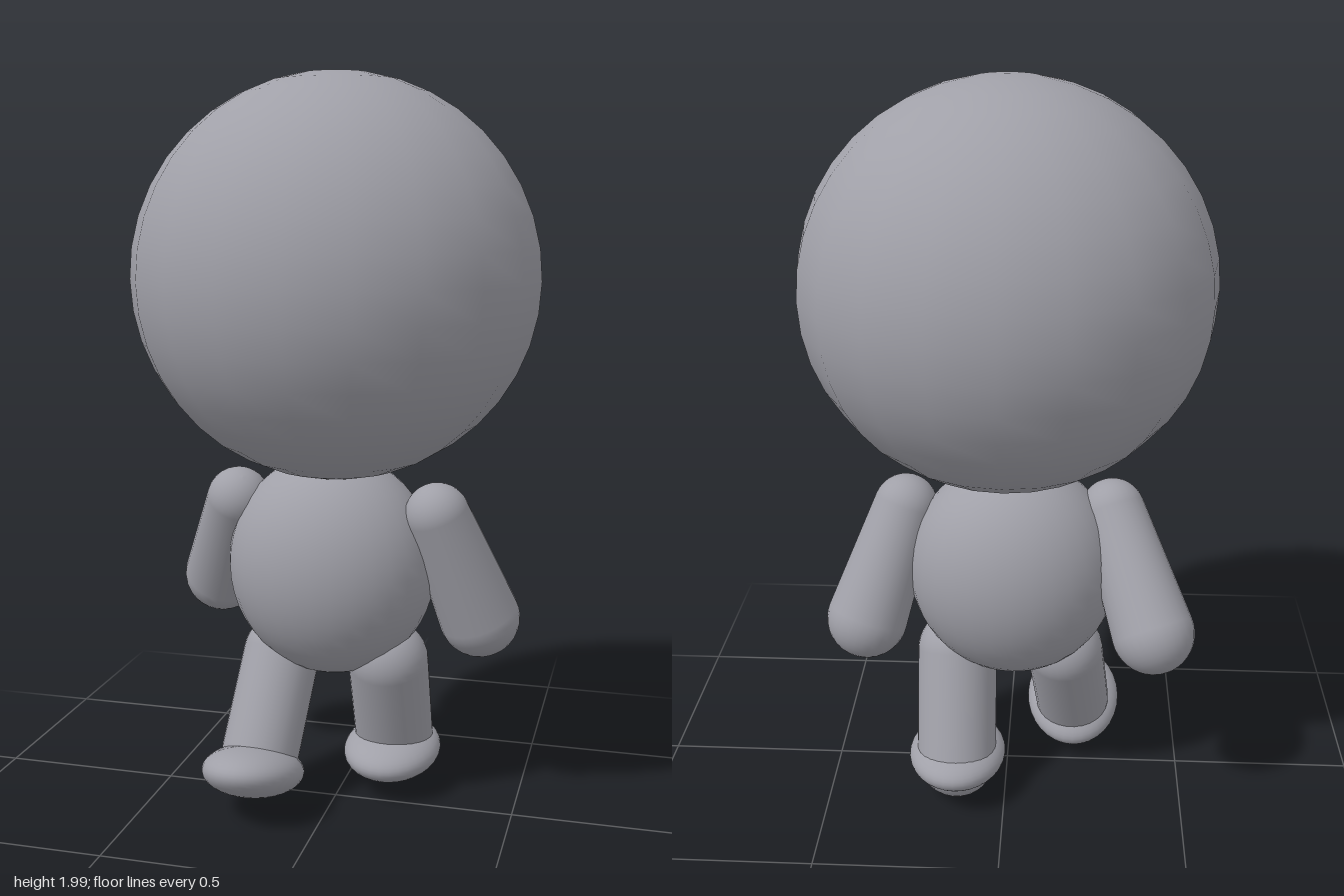
import * as THREE from 'three';

const grey = new THREE.MeshStandardMaterial({ color: 0xa0a0a8 });
grey.name = 'plain grey';

// Ellipsoid, optionally pitched about x (negative lifts the front)
function ellipsoid(name, center, radii, segments = [32, 24], pitch = 0) {
  const mesh = new THREE.Mesh(new THREE.SphereGeometry(1, ...segments), grey);
  mesh.name = name;
  mesh.scale.set(...radii);
  mesh.position.set(...center);
  mesh.rotation.x = pitch;
  return mesh;
}

// Round-ended limb running from ball a (radius ra) to ball b (radius rb)
function limb(name, a, ra, b, rb) {
  const start = new THREE.Vector3(...a);
  const axis = new THREE.Vector3(...b).sub(start);
  const length = axis.length();
  const tangent = Math.asin((ra - rb) / length);
  const profile = [];
  const arc = (from, to, r, y) => {
    for (let i = 0; i <= 10; i++) {
      const t = from + (to - from) * i / 10;
      profile.push(new THREE.Vector2(Math.max(0, r * Math.cos(t)), y + r * Math.sin(t)));
    }
  };
  arc(-Math.PI / 2, tangent, ra, 0);
  arc(tangent, Math.PI / 2, rb, length);
  const mesh = new THREE.Mesh(new THREE.LatheGeometry(profile, 28), grey);
  mesh.name = name;
  mesh.position.copy(start);
  mesh.quaternion.setFromUnitVectors(new THREE.Vector3(0, 1, 0), axis.normalize());
  return mesh;
}

export function createModel() {
  const model = new THREE.Group();
  model.name = 'walkingFigure';

  // Big head and egg-shaped torso
  model.add(
    ellipsoid('head', [0, 1.468, 0], [0.542, 0.532, 0.522], [20, 20]),
    ellipsoid('torso', [-0.02, 0.68, -0.04], [0.29, 0.31, 0.24])
  );

  // Arms, slightly thicker at the hands
  model.add(
    limb('leftArm', [0.28, 0.842, -0.005], 0.088, [0.385, 0.538, -0.1], 0.112),
    limb('rightArm', [-0.288, 0.852, -0.03], 0.088, [-0.4, 0.578, -0.21], 0.112)
  );

  // Legs in mid-stride: right leg forward, left leg back
  model.add(
    limb('leftLeg', [0.14, 0.41, -0.045], 0.112, [0.137, 0.12, -0.16], 0.112),
    limb('rightLeg', [-0.165, 0.41, -0.03], 0.108, [-0.19, 0.165, 0.097], 0.108)
  );

  // Flattened feet, the forward one with its toe raised
  model.add(
    ellipsoid('leftFoot', [0.137, 0.118, -0.127], [0.137, 0.068, 0.181], [32, 24], 0.06),
    ellipsoid('rightFoot', [-0.193, 0.13, 0.157], [0.137, 0.072, 0.181], [32, 24], -0.3)
  );
  return model;
}
